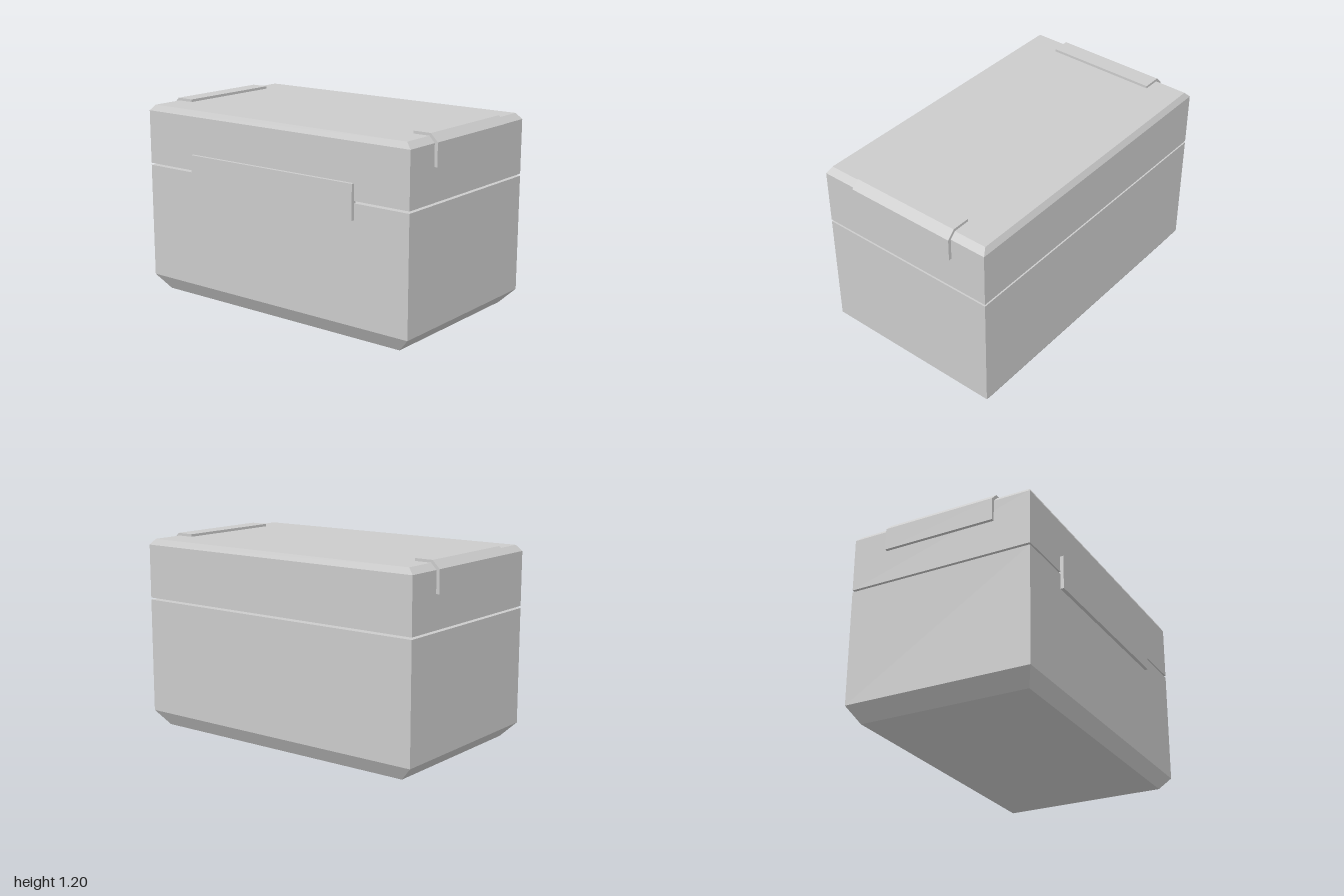
import * as THREE from 'three';

const material = new THREE.MeshStandardMaterial({ color: 0xcccccc, flatShading: true });
const HALF_X = 0.98, HALF_Z = 0.58, CENTRE_Z = -0.01;

// Box of three stacked rectangles, each row given as [y, inset in x, inset in z]
function chamferedBox(name, rows) {
  const indexed = new THREE.BoxGeometry(2, 2, 2, 1, 2, 1);
  const p = indexed.attributes.position;
  for (let i = 0; i < p.count; i++) {
    const [y, insetX, insetZ] = rows[Math.round(p.getY(i)) + 1];
    p.setXYZ(i, Math.sign(p.getX(i)) * (HALF_X - insetX), y,
      Math.sign(p.getZ(i)) * (HALF_Z - insetZ) + CENTRE_Z);
  }
  const geometry = indexed.toNonIndexed();
  geometry.computeVertexNormals();
  const mesh = new THREE.Mesh(geometry, material);
  mesh.name = name;
  return mesh;
}

// Bent strip that wraps over the chamfered side edge of the lid
function cornerStrip(name, side) {
  const profile = [
    [0.84, 1.184], [0.945, 1.184], [0.98, 1.148], [0.98, 1.017],
    [1, 1.017], [1, 1.154], [0.954, 1.2], [0.84, 1.2],
  ];
  const shape = new THREE.Shape(profile.map(([x, y]) => new THREE.Vector2(side * x, y)));
  const geometry = new THREE.ExtrudeGeometry(shape, { depth: 0.705, bevelEnabled: false });
  geometry.translate(0, 0, -0.362);
  const mesh = new THREE.Mesh(geometry, material);
  mesh.name = name;
  return mesh;
}

export function createModel() {
  const group = new THREE.Group();
  group.name = 'chest';

  // Body tapering in at the foot, and a separate lid with chamfered top edges
  group.add(chamferedBox('body', [[0, 0.088, 0.053], [0.09, 0, 0], [0.803, 0, 0]]));
  group.add(chamferedBox('lid', [[0.816, 0, 0], [1.148, 0, 0], [1.184, 0.035, 0.02]]));

  // Front plate bridging the gap between body and lid
  const clasp = new THREE.Mesh(new THREE.BoxGeometry(1.224, 0.208, 0.032), material);
  clasp.name = 'frontClasp';
  clasp.position.set(0, 0.812, 0.575);
  group.add(clasp);

  // Side strips
  group.add(cornerStrip('leftStrip', 1), cornerStrip('rightStrip', -1));
  return group;
}
